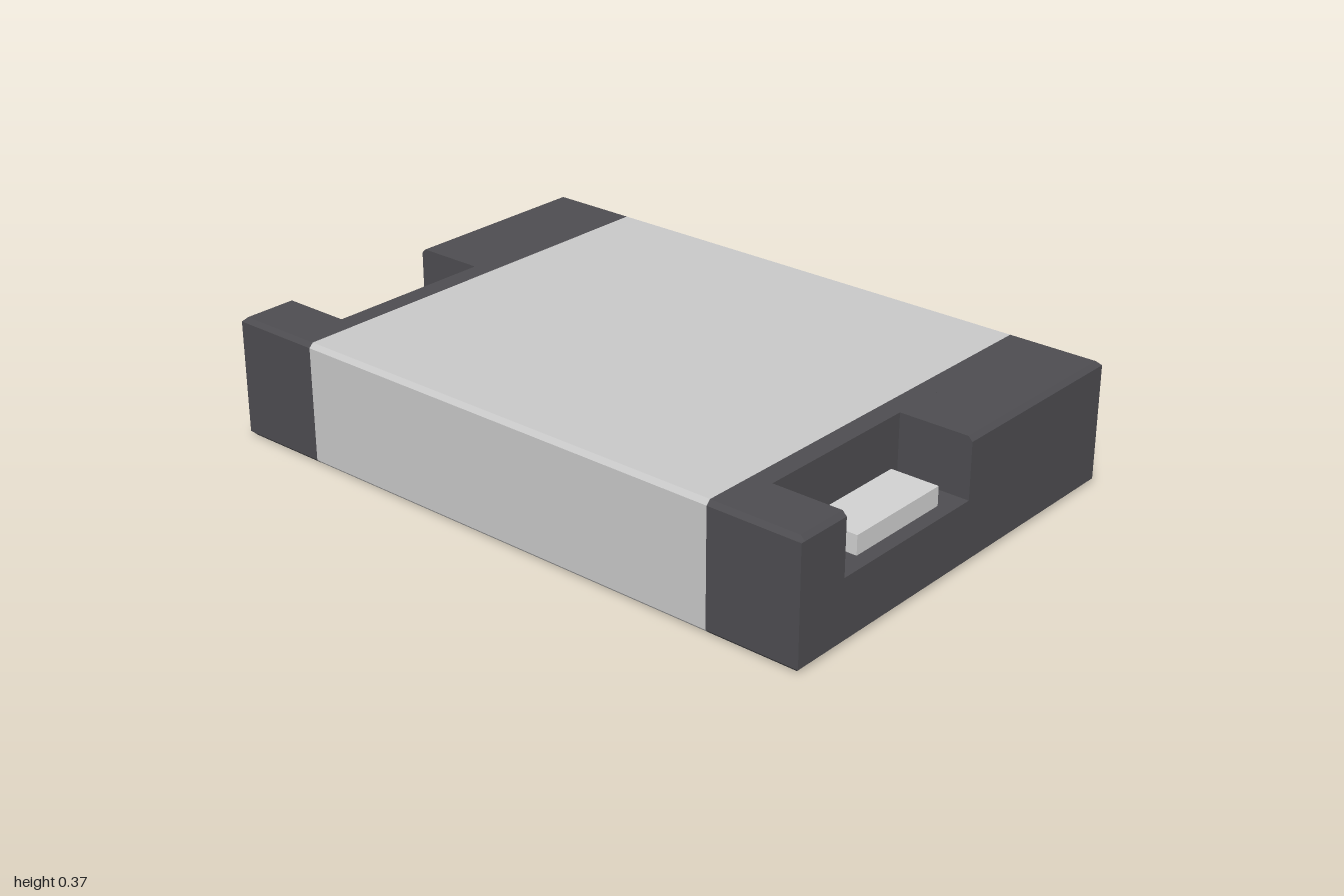
import * as THREE from 'three';

const W = 0.665, H = 0.37, B = 0.013; // half width, height, edge bevel
const NOTCH = { x0: -0.49, x1: 0.04, floor: 0.19, z: 0.775 };
const SEAM = 0.713;

// Block cross-section with bevelled long edges and an optional notch in the top
function profile(notch) {
  const pts = [[-W + B, 0], [W - B, 0], [W, B], [W, H - B], [W - B, H]];
  if (notch) {
    const [a, b] = notch;
    pts.push([b, H], [b, NOTCH.floor], [a, NOTCH.floor], [a, H]);
  }
  pts.push([-W + B, H], [-W, H - B], [-W, B]);
  return new THREE.Shape(pts.map(([x, y]) => new THREE.Vector2(x, y)));
}

function slab(shape, z0, z1, steps = 1) {
  const g = new THREE.ExtrudeGeometry(shape, { depth: z1 - z0, bevelEnabled: false, steps });
  return g.translate(0, 0, z0);
}

// Notched end block: the outermost ring is squeezed in y to bevel the end edges
function endBlock(notch) {
  const g = slab(profile(notch), NOTCH.z, 1, 2);
  const p = g.attributes.position;
  const mid = (NOTCH.z + 1) / 2;
  for (let i = 0; i < p.count; i++) {
    const z = p.getZ(i);
    if (Math.abs(z - mid) < 0.01) p.setZ(i, 1 - B);
    else if (z > mid) p.setY(i, THREE.MathUtils.clamp(p.getY(i), B, H - B));
  }
  g.computeVertexNormals();
  return g;
}

export function createModel() {
  const group = new THREE.Group();
  const material = (name, color) => {
    const m = new THREE.MeshStandardMaterial({ color });
    m.name = name;
    return m;
  };
  const shell = material('lightGrey', 0xc8c8c8);
  const dark = material('darkGrey', 0x4d4c50);
  const frontMetal = material('paleMetal', 0xd0d0d0);
  const backMetal = material('greyMetal', 0xc1c1c1);

  const add = (name, geometry, mat, parent = group) => {
    const mesh = new THREE.Mesh(geometry, mat);
    mesh.name = name;
    parent.add(mesh);
    return mesh;
  };

  // Central casing
  add('casing', slab(profile(), -SEAM, SEAM), shell);

  // End caps: a full slab behind the notch, and a notched outer block
  for (const side of ['front', 'back']) {
    const cap = new THREE.Group();
    cap.name = side + 'Cap';
    const back = side === 'back';
    const notch = back ? [-NOTCH.x1, -NOTCH.x0] : [NOTCH.x0, NOTCH.x1];
    add(side + 'CapBase', slab(profile(), SEAM, NOTCH.z), dark, cap);
    add(side + 'CapNotched', endBlock(notch), dark, cap);
    if (back) cap.rotation.y = Math.PI;
    group.add(cap);
  }

  // Terminals resting on the notch floors
  const terminal = (name, x, z, mat) => {
    const h = 0.057;
    add(name, new THREE.BoxGeometry(0.346, h, 0.148), mat).position.set(x, NOTCH.floor + h / 2, z);
  };
  terminal('frontTerminal', -0.209, 0.882, frontMetal);
  terminal('backTerminal', -0.225, -0.888, backMetal);

  return group;
}
